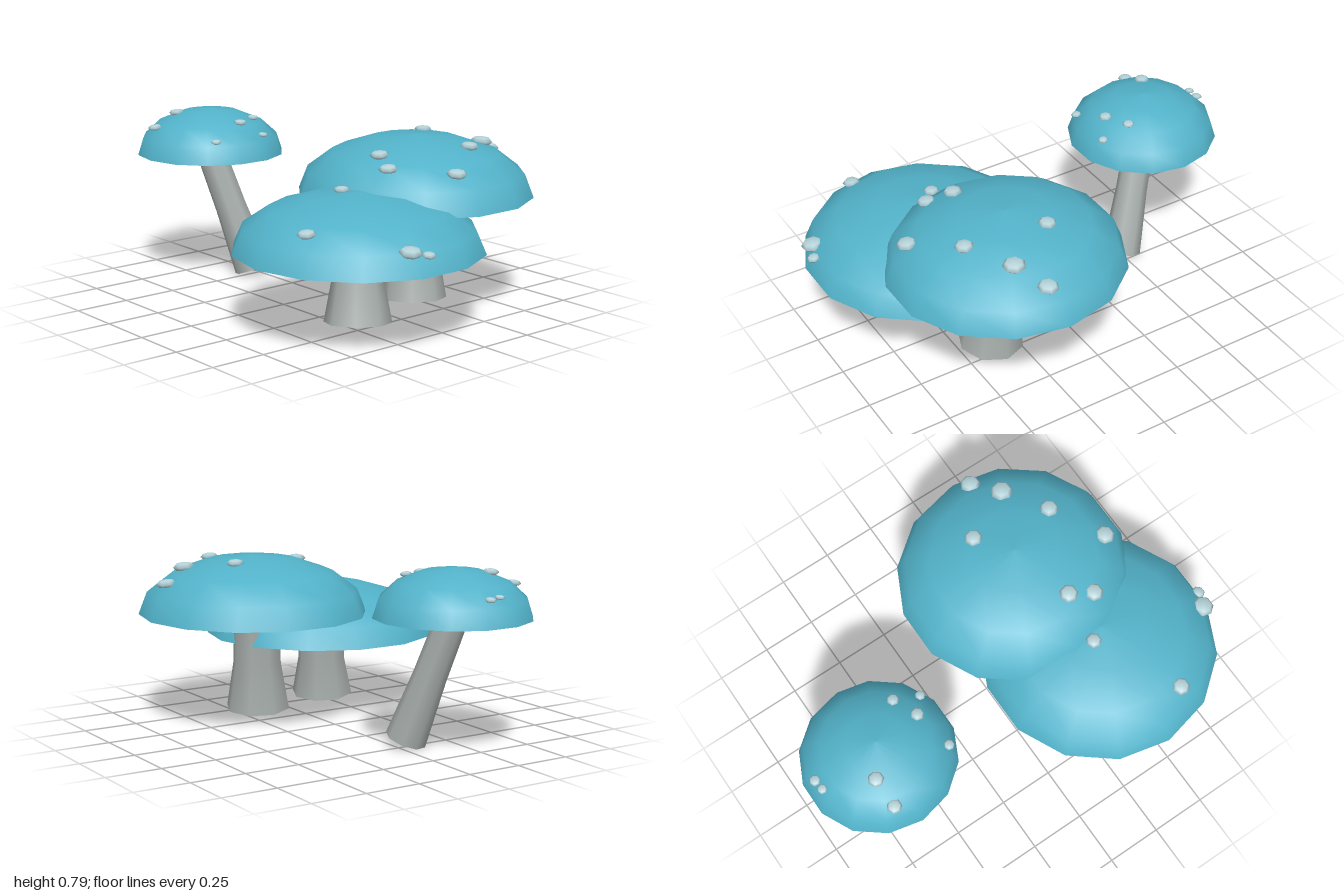
import * as THREE from 'three';
import { mergeGeometries } from 'three/addons/utils/BufferGeometryUtils.js';

const capBlue = new THREE.MeshStandardMaterial({ color: 0x52b2c9 });
const stemGrey = new THREE.MeshStandardMaterial({ color: 0xa8afac });
const spotPale = new THREE.MeshStandardMaterial({ color: 0xb4d2d8 });
capBlue.name = 'capBlue';
stemGrey.name = 'stemGrey';
spotPale.name = 'spotPale';

const lathe = (points, sides) =>
  new THREE.LatheGeometry(points.map(([r, y]) => new THREE.Vector2(r, y)), sides);

function addMesh(group, name, geometry, material) {
  const mesh = new THREE.Mesh(geometry, material);
  mesh.name = name;
  group.add(mesh);
  return mesh;
}

// Each cap is a flattened half sphere; stem radii run [height fraction, radius];
// spots are [x, z, radius] and sit on the dome.
const mushrooms = [
  {
    name: 'smallMushroom', cap: [-0.665, 0.58, 0.155], size: [0.343, 0.21, 0.34],
    foot: [-0.495, 0.033, 0.04], top: [-0.665, 0.58, 0.155],
    radii: [[0, 0.09], [0.5, 0.073], [1, 0.068]],
    spots: [[-0.955, 0.125, 0.025], [-0.95, 0.175, 0.022], [-0.75, 0.285, 0.035], [-0.745, 0.41, 0.033],
      [-0.45, 0.14, 0.03], [-0.5, 0.03, 0.027], [-0.385, 0.06, 0.023], [-0.405, 0.31, 0.024]],
  },
  {
    name: 'backMushroom', cap: [0.312, 0.495, -0.243], size: [0.53, 0.265, 0.513],
    foot: [0.365, 0.038, -0.19], top: [0.33, 0.495, -0.215],
    radii: [[0, 0.148], [0.45, 0.112], [1, 0.106]],
    spots: [[0.36, -0.655, 0.046], [0.44, -0.525, 0.05], [0.2, -0.395, 0.04], [0.56, -0.33, 0.042],
      [0.71, -0.11, 0.045], [0.4, 0.045, 0.042], [0.505, 0.09, 0.042]],
  },
  {
    name: 'frontMushroom', cap: [0.462, 0.345, 0.215], size: [0.538, 0.245, 0.54],
    foot: [0.49, 0.035, 0.24], top: [0.46, 0.345, 0.215],
    radii: [[0, 0.145], [0.5, 0.113], [1, 0.106]],
    spots: [[0.395, 0.25, 0.035], [0.61, 0.615, 0.04], [0.935, 0.355, 0.05], [0.965, 0.285, 0.03]],
  },
];

function makeMushroom({ name, cap, size, foot, top, radii, spots }) {
  const group = new THREE.Group();
  group.name = name;

  // Cap dome and its flat underside
  const arc = [];
  for (let i = 0; i <= 4; i++) {
    const a = (i * Math.PI) / 8;
    arc.push([i === 4 ? 0 : Math.cos(a), Math.sin(a)]);
  }
  const dome = addMesh(group, 'capDome', lathe(arc, 14), capBlue);
  const underside = addMesh(group, 'capUnderside', lathe([[0, 0], [1, 0]], 14), stemGrey);
  for (const part of [dome, underside]) {
    part.position.set(...cap);
    part.scale.set(...size);
  }

  // Leaning stem, flared at the foot and ending just inside the cap
  const start = new THREE.Vector3(...foot);
  const axis = new THREE.Vector3(...top).sub(start);
  const length = axis.length() + 0.03;
  const side = lathe(radii.map(([t, r]) => [r, t * length]), 8);
  const base = lathe([[0, 0], [radii[0][1], 0]], 8);
  const stem = addMesh(group, 'stem', mergeGeometries([side, base]), stemGrey);
  stem.position.copy(start);
  stem.quaternion.setFromUnitVectors(new THREE.Vector3(0, 1, 0), axis.normalize());

  // Flattened spots scattered over the dome
  for (const [x, z, r] of spots) {
    const dx = (x - cap[0]) / size[0];
    const dz = (z - cap[2]) / size[2];
    const rise = Math.sqrt(Math.max(0, 1 - dx * dx - dz * dz));
    const spot = addMesh(group, 'spot', new THREE.SphereGeometry(1, 7, 4), spotPale);
    spot.position.set(x, cap[1] + size[1] * rise + 0.003, z);
    spot.scale.set(r, r * 0.42, r);
    spot.rotation.set(dz * 0.15, 0, -dx * 0.15);
  }
  return group;
}

export function createModel() {
  const model = new THREE.Group();
  model.name = 'mushroomCluster';
  for (const spec of mushrooms) model.add(makeMushroom(spec));
  return model;
}
